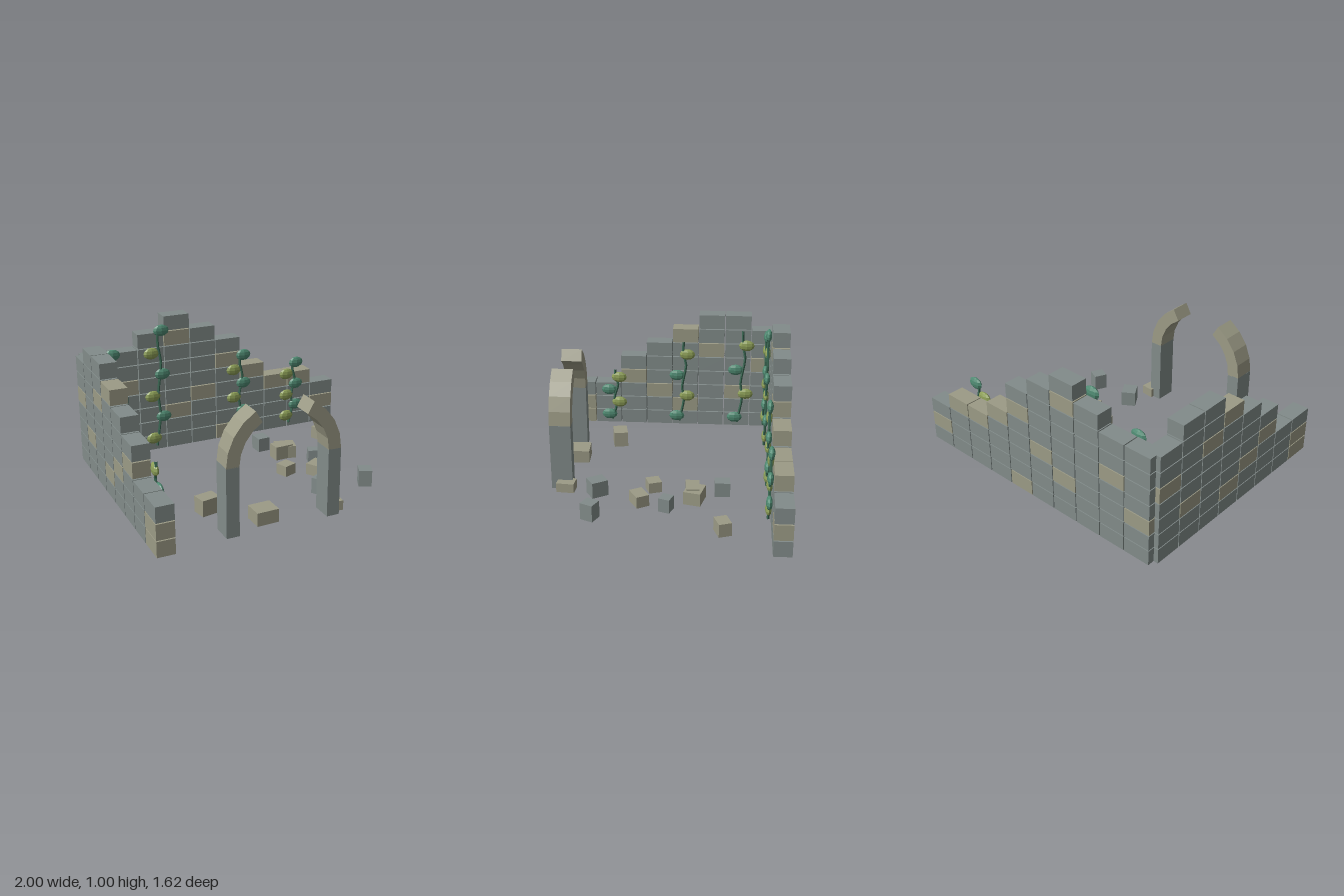
import * as THREE from 'three';

const mat = (color) => new THREE.MeshStandardMaterial({ color, flatShading: true });

export function createModel() {
  const model = new THREE.Group();
  const stone = mat(0x828c8a), sandstone = mat(0x9c9b86);
  const stemMat = mat(0x3c6a55), darkLeaf = mat(0x4f8a72), lightLeaf = mat(0x8d9f57);

  const add = (parent, name, geometry, material, x, y, z) => {
    const mesh = new THREE.Mesh(geometry, material);
    mesh.name = name;
    mesh.position.set(x, y, z);
    parent.add(mesh);
    return mesh;
  };
  const group = (name, parent = model) => {
    const g = new THREE.Group();
    g.name = name;
    parent.add(g);
    return g;
  };

  // Walls: stacked columns of blocks, stepped down towards the ruined ends
  const PITCH = 0.197, ROW = 0.111;
  const buildWall = (name, heights, x0, z, depth, sandy) => {
    const wall = group(name);
    const block = new THREE.BoxGeometry(0.19, 0.104, depth);
    heights.forEach((count, c) => {
      for (let r = 0; r < count; r++) {
        const material = sandy.includes(`${c},${r}`) ? sandstone : stone;
        add(wall, 'wallBlock', block, material, x0 + c * PITCH, (r + 0.5) * ROW, z);
      }
    });
    return wall;
  };
  const backWall = buildWall('backWall', [7, 7, 8, 9, 8, 7, 5, 4, 4, 3], -0.872, -0.755, 0.116,
    ['1,4', '3,7', '3,2', '4,3', '5,5', '6,4', '7,3', '8,3', '9,1', '5,0', '0,2']);
  const leftWall = buildWall('leftWall', [3, 3, 5, 6, 7, 8, 8, 7], -0.71, -0.94, 0.118,
    ['0,0', '0,1', '2,3', '3,2', '4,6', '5,5', '6,2', '4,1', '7,4']);
  leftWall.rotation.y = Math.PI / 2;

  // Vines: a wavering stem with leaves alternating on both sides
  const leaf = new THREE.SphereGeometry(1, 8, 6);
  const sway = [0, 0.02, 0.035, 0.02, 0.035, 0.05, 0.03, 0.03];
  const buildVine = (wall, x, z, stemTop, bottom, top, count, darkOdd) => {
    const vine = group('vine', wall);
    const points = sway.map((s, i) =>
      new THREE.Vector3(x + s - 0.02, 0.04 + (stemTop - 0.04) * i / 7, z));
    const path = new THREE.CatmullRomCurve3(points);
    add(vine, 'vineStem', new THREE.TubeGeometry(path, 14, 0.01, 5), stemMat, 0, 0, 0);
    for (let i = 0; i < count; i++) {
      const odd = i % 2 === 1;
      const y = bottom + (top - bottom) * i / (count - 1);
      const mesh = add(vine, 'vineLeaf', leaf, odd === darkOdd ? darkLeaf : lightLeaf,
        x + (odd ? 0.039 : -0.039), y, z);
      mesh.scale.set(0.058, 0.042, 0.022);
    }
  };
  for (const [x, top] of [[-0.805, 0.767], [-0.443, 0.903], [0.19, 0.64], [0.628, 0.522]])
    buildVine(backWall, x, -0.679, top + 0.02, 0.1, top, 6, true);
  for (const [x, top] of [[-0.465, 0.385], [0.055, 0.58], [0.498, 0.66]])
    buildVine(leftWall, x, -0.864, 0.08 + (top - 0.08) * 1.2, 0.08, top, 4, false);

  // Broken archway: two pillars, each carrying four wedge stones of a half circle
  const arch = group('brokenArch');
  arch.position.set(-0.155, 0, 0.691);
  const R = 0.343, HALF = 0.043, DEPTH = 0.142, SPRING = 0.455, STEP = Math.PI / 12;
  const at = (r, a) => new THREE.Vector2(r * Math.cos(a), r * Math.sin(a));
  for (const side of [-1, 1]) {
    add(arch, 'archPillar', new THREE.BoxGeometry(HALF * 2, 0.46, DEPTH), stone, side * R, 0.23, 0);
    for (let i = 0; i < 4; i++) {
      const a = side > 0 ? i * STEP : Math.PI - (i + 1) * STEP, b = a + STEP;
      const wedge = new THREE.Shape([
        at(R - HALF, a), at(R + HALF, a), at(R + HALF, b), at(R - HALF, b)]);
      const geometry = new THREE.ExtrudeGeometry(wedge, { depth: DEPTH, bevelEnabled: false });
      add(arch, 'archStone', geometry, sandstone, 0, SPRING, -DEPTH / 2);
    }
  }

  // Fallen blocks: x, z, width, height, depth, turn in degrees, sandy or not
  const rubble = group('rubble');
  for (const [x, z, w, h, d, turn, sandy] of [
    [0.235, -0.385, 0.09, 0.1, 0.102, 3, 0],
    [0.735, -0.395, 0.105, 0.09, 0.085, 20, 1],
    [0.34, -0.205, 0.14, 0.09, 0.115, -14, 1],
    [0.305, -0.19, 0.135, 0.1, 0.09, 3, 1],
    [0.475, -0.027, 0.08, 0.095, 0.075, -20, 0],
    [0.207, 0.075, 0.095, 0.075, 0.09, 20, 1],
    [0.4, 0.155, 0.12, 0.08, 0.09, 30, 1],
    [-0.508, 0.38, 0.13, 0.11, 0.1, 11, 1],
    [0.29, 0.445, 0.1, 0.11, 0.115, 32, 0],
    [0.61, 0.45, 0.088, 0.115, 0.09, -25, 0],
    [-0.235, 0.633, 0.15, 0.09, 0.132, 2, 1],
    [0.245, 0.66, 0.09, 0.065, 0.12, -5, 1],
  ]) {
    const mesh = add(rubble, 'fallenBlock', new THREE.BoxGeometry(w, h, d),
      sandy ? sandstone : stone, x, h / 2, z);
    mesh.rotation.y = THREE.MathUtils.degToRad(turn);
  }

  return model;
}
